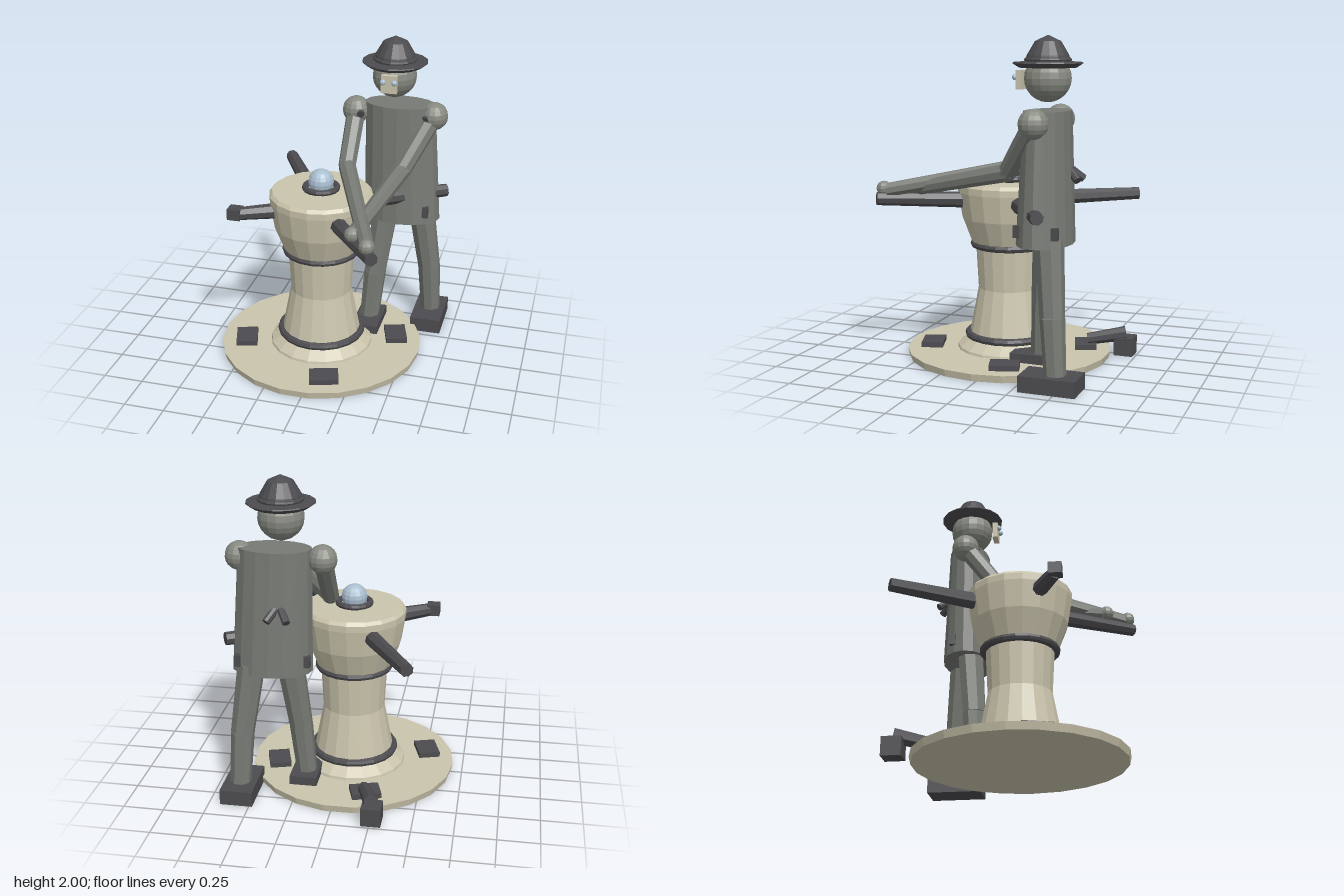
import * as THREE from 'three';

const mat = (name, color) => {
  const m = new THREE.MeshStandardMaterial({ color, flatShading: true });
  m.name = name;
  return m;
};

export function createModel() {
  const cream = mat('cream', 0xcac4ac);
  const dark = mat('charcoal', 0x4c4b4f);
  const cloth = mat('grey cloth', 0x777a74);
  const skin = mat('grey skin', 0x868980);
  const glass = mat('pale blue', 0xaabfd0);

  const model = new THREE.Group();
  model.name = 'sailorAtCapstan';
  const V = (x, y, z) => new THREE.Vector3(x, y, z);

  const add = (parent, name, geo, material, x = 0, y = 0, z = 0) => {
    const mesh = new THREE.Mesh(geo, material);
    mesh.name = name;
    mesh.position.set(x, y, z);
    parent.add(mesh);
    return mesh;
  };
  const box = (parent, name, w, h, d, material, x, y, z) =>
    add(parent, name, new THREE.BoxGeometry(w, h, d), material, x, y, z);
  const ball = (parent, name, r, material, p, w = 14, h = 10) =>
    add(parent, name, new THREE.SphereGeometry(r, w, h), material, p.x, p.y, p.z);
  // Tapered rod from a (radius ra) to b (radius rb)
  const rod = (parent, name, a, b, ra, rb, material) => {
    const d = b.clone().sub(a);
    const mesh = add(parent, name, new THREE.CylinderGeometry(rb, ra, d.length(), 8), material);
    mesh.position.copy(a).add(b).multiplyScalar(0.5);
    mesh.quaternion.setFromUnitVectors(V(0, 1, 0), d.normalize());
    return mesh;
  };
  const lathe = (parent, name, pts, sides, material) =>
    add(parent, name, new THREE.LatheGeometry(pts.map(p => new THREE.Vector2(...p)), sides), material);
  const ring = (parent, name, r, tube, y, sides = 20) => {
    const mesh = add(parent, name, new THREE.TorusGeometry(r, tube, 8, sides), dark, 0, y, 0);
    mesh.rotation.x = Math.PI / 2;
    return mesh;
  };

  // ---- Capstan ----
  const capstan = new THREE.Group();
  capstan.name = 'capstan';
  capstan.position.set(-0.045, 0, 0.027);
  model.add(capstan);

  const deck = add(capstan, 'deckPlate', new THREE.CylinderGeometry(0.645, 0.635, 0.045, 22), cream, 0, 0.0225, 0);
  deck.rotation.y = Math.PI / 2;
  lathe(capstan, 'barrel', [
    [0.33, 0.04], [0.325, 0.06], [0.26, 0.11], [0.25, 0.14], [0.195, 0.43], [0.21, 0.70],
    [0.235, 0.72], [0.295, 0.875], [0.322, 1.04], [0.322, 1.08], [0.305, 1.10], [0, 1.10],
  ], 18, cream);
  ring(capstan, 'lowerBand', 0.258, 0.024, 0.132);
  ring(capstan, 'upperBand', 0.222, 0.024, 0.708);
  ring(capstan, 'capRing', 0.1, 0.019, 1.12, 16);
  ball(capstan, 'capBall', 0.08, glass, V(0, 1.157, 0));

  // Push bars, angles measured from +x towards +z; the short one is snapped
  const bars = [['frontBar', 55, 0.83, 1.02], ['brokenBar', 150, 0.52, 1.0],
    ['backBar', 240.5, 0.83, 1.005], ['sideBar', -31, 0.83, 1.0]];
  for (const [name, deg, len, y] of bars) {
    const a = THREE.MathUtils.degToRad(deg), c = Math.cos(a), s = Math.sin(a);
    rod(capstan, name, V(c * 0.2, 0.99, s * 0.2), V(c * len, y, s * len), 0.052, 0.04, dark);
  }
  box(capstan, 'brokenBarEnd', 0.08, 0.07, 0.08, dark, -0.47, 1.005, 0.263);

  // Foot cleats around the deck plate
  for (let i = 0; i < 4; i++) {
    const a = THREE.MathUtils.degToRad(73 + i * 90);
    const cleat = box(capstan, 'deckCleat', 0.135, 0.035, 0.18, dark,
      Math.cos(a) * 0.485, 0.06, Math.sin(a) * 0.485);
    cleat.rotation.y = -a;
  }

  // Fallen piece of the broken bar
  const piece = new THREE.Group();
  piece.name = 'fallenBarPiece';
  model.add(piece);
  box(piece, 'fallenBarHead', 0.12, 0.115, 0.12, dark, -0.26, 0.0575, -0.675);
  rod(piece, 'fallenBarShaft', V(-0.257, 0.135, -0.68), V(-0.18, 0.095, -0.45), 0.046, 0.037, dark);

  // ---- Sailor ----
  const sailor = new THREE.Group();
  sailor.name = 'sailor';
  model.add(sailor);

  // Coat: oval tube leaning slightly to one side
  const coatGeo = new THREE.CylinderGeometry(1, 1, 0.76, 16);
  const pos = coatGeo.attributes.position;
  for (let i = 0; i < pos.count; i++) {
    const t = 0.5 - pos.getY(i) / 0.76; // 0 at the collar, 1 at the hem
    pos.setX(i, 0.36 + 0.03 * t + pos.getX(i) * (0.22 + 0.025 * t));
    pos.setZ(i, -0.36 + pos.getZ(i) * (0.13 + 0.033 * t));
  }
  coatGeo.computeVertexNormals();
  add(sailor, 'coat', coatGeo, cloth, 0, 1.195, 0);

  // Pocket tabs and the knot at the back
  for (const [x, z] of [[0.56, -0.245], [0.575, -0.475], [0.165, -0.43]])
    box(sailor, 'pocketTab', 0.035, 0.07, 0.04, dark, x, 0.9, z);
  for (const s of [-1, 1])
    rod(sailor, 'backTie', V(0.32 + s * 0.015, 1.24, -0.48), V(0.32 + s * 0.06, 1.18, -0.545), 0.024, 0.024, dark);

  // Head, face and eyes
  const hx = 0.322, hz = -0.345;
  ball(sailor, 'head', 0.137, skin, V(hx, 1.755, hz), 16, 12);
  box(sailor, 'face', 0.097, 0.11, 0.035, cream, hx, 1.745, -0.183);
  for (const s of [-1, 1]) ball(sailor, 'eye', 0.018, glass, V(hx + s * 0.035, 1.76, -0.158), 10, 8);

  // Hat
  const hat = lathe(sailor, 'hat', [
    [0, 1.815], [0.165, 1.815], [0.203, 1.84], [0.2, 1.847], [0.13, 1.852], [0.122, 1.885],
    [0.075, 1.965], [0, 2.0],
  ], 16, dark);
  hat.position.set(hx, 0, hz);
  const band = ring(sailor, 'hatBand', 0.123, 0.014, 1.86, 16);
  band.position.x = hx;
  band.position.z = hz;

  // Arms reaching for the front bar
  const arms = [
    ['right', V(0.083, 1.51, -0.345), V(0.08, 1.215, -0.125), V(0.395, 1.07, 0.66)],
    ['left', V(0.575, 1.51, -0.345), V(0.425, 1.215, -0.135), V(0.28, 1.07, 0.53)],
  ];
  for (const [side, shoulder, elbow, hand] of arms) {
    ball(sailor, side + 'Shoulder', 0.087, skin, shoulder);
    rod(sailor, side + 'UpperArm', shoulder, elbow, 0.06, 0.055, cloth);
    ball(sailor, side + 'Elbow', 0.055, cloth, elbow, 8, 6);
    rod(sailor, side + 'Forearm', elbow, hand, 0.055, 0.043, cloth);
    ball(sailor, side + 'Hand', 0.046, skin, hand.clone().add(V(0, 0.01, 0.015)), 10, 8);
    const inward = side === 'right' ? 1 : -1;
    rod(sailor, side + 'ShoulderStrap', shoulder.clone().add(V(inward * 0.025, 0.03, -0.03)),
      shoulder.clone().add(V(inward * 0.045, -0.005, 0.08)), 0.024, 0.024, dark);
  }

  // Legs and shoes
  const legs = [
    ['right', V(0.29, 0.86, -0.335), V(0.235, 0.42, -0.295), V(0.205, 0.07, -0.275)],
    ['left', V(0.505, 0.86, -0.42), V(0.565, 0.42, -0.46), V(0.583, 0.07, -0.485)],
  ];
  for (const [side, hip, knee, ankle] of legs) {
    rod(sailor, side + 'Thigh', hip, knee, 0.085, 0.073, cloth);
    rod(sailor, side + 'Shin', knee, ankle, 0.073, 0.064, cloth);
  }
  box(sailor, 'leftShoe', 0.2, 0.095, 0.34, dark, 0.58, 0.0475, -0.46);
  box(sailor, 'rightShoe', 0.17, 0.06, 0.3, dark, 0.21, 0.07, -0.25);

  return model;
}
